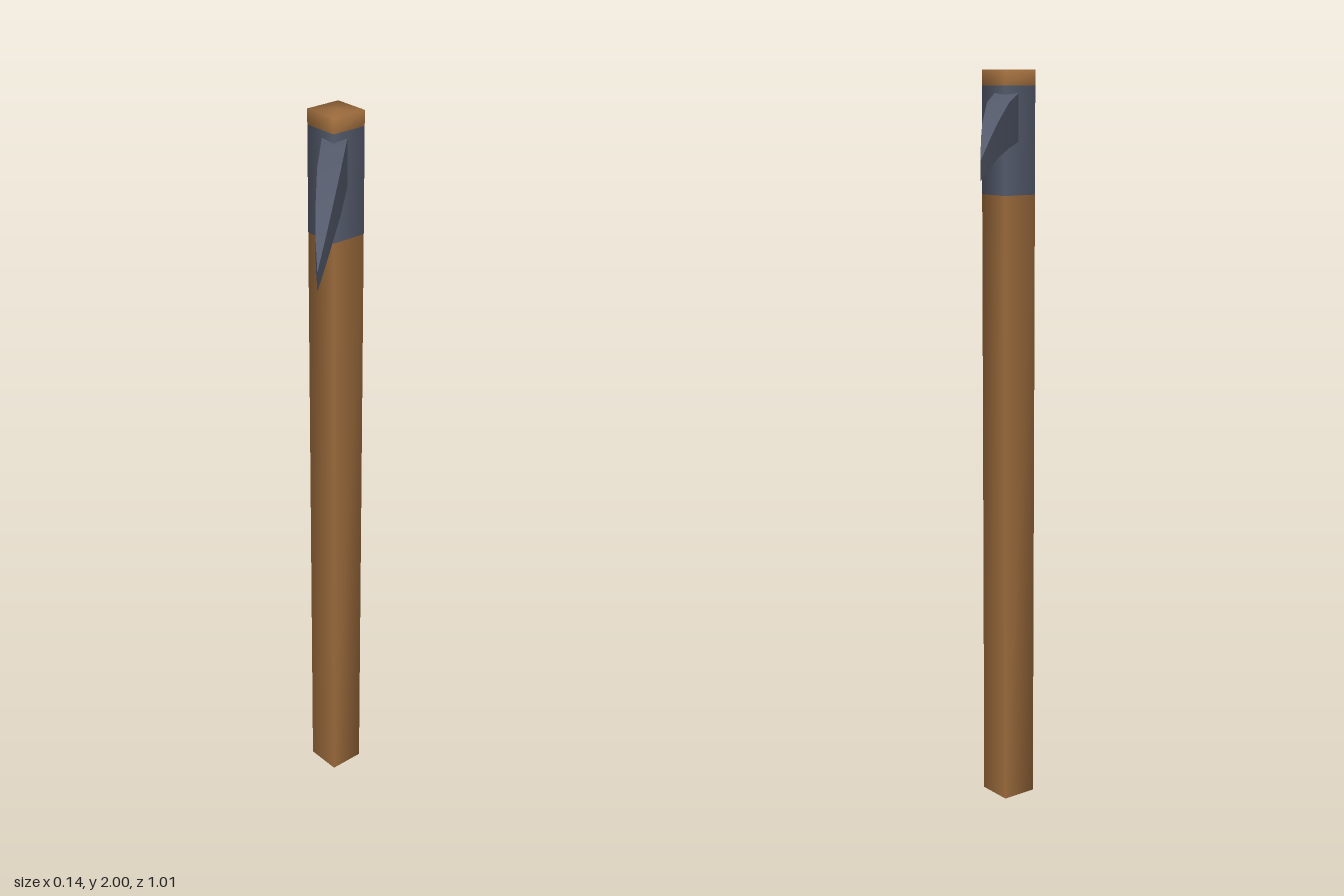
import * as THREE from 'three';
import { mergeVertices } from 'three/addons/utils/BufferGeometryUtils.js';

const wood = new THREE.MeshStandardMaterial({ color: 0x99693b });
wood.name = 'wood';
const metal = new THREE.MeshStandardMaterial({ color: 0x545a6b });
metal.name = 'dark metal';

// Four-sided shaft with a metal collar band near the top, softly shaded across its edges
function makeHandle() {
  const heights = [2, 1.96, 1.68, 0];
  let geo = new THREE.CylinderGeometry(0.07, 0.07, 3, 4, 3);
  const pos = geo.attributes.position;
  for (let i = 0; i < pos.count; i++) pos.setY(i, heights[Math.round(1.5 - pos.getY(i))]);
  geo.deleteAttribute('normal');
  geo.deleteAttribute('uv');
  geo = mergeVertices(geo);
  geo.computeVertexNormals();

  // Each side holds three quads: wood tip, metal collar, wood shaft; the caps follow
  geo.clearGroups();
  for (let side = 0; side < 4; side++) {
    [0, 1, 0].forEach((material, row) => geo.addGroup(side * 18 + row * 6, 6, material));
  }
  geo.addGroup(72, 24, 0);
  const mesh = new THREE.Mesh(geo, [wood, metal]);
  mesh.name = 'handleWithCollar';
  return mesh;
}

// Curved double-ended pick, tapering to a vertical edge at both tips
function makePick() {
  // Cross-sections from centre to tip: z, half width, bottom y, top y
  const sections = [
    [0, 0.031, 1.817, 1.942],
    [0.04, 0.031, 1.817, 1.941],
    [0.2, 0.028, 1.808, 1.92],
    [0.35, 0.0185, 1.789, 1.872],
    [0.43, 0.0105, 1.77, 1.835],
    [0.506, 0, 1.744, 1.79],
  ];
  const steps = sections.length - 1;
  const geo = new THREE.BoxGeometry(2, 2, steps * 2, 1, 1, steps * 2);
  const pos = geo.attributes.position;
  for (let i = 0; i < pos.count; i++) {
    const k = Math.round(pos.getZ(i));
    const [z, halfWidth, bottom, top] = sections[Math.abs(k)];
    pos.setXYZ(i, pos.getX(i) * halfWidth, pos.getY(i) > 0 ? top : bottom, Math.sign(k) * z);
  }
  geo.clearGroups();
  geo.computeVertexNormals();
  const mesh = new THREE.Mesh(geo, metal);
  mesh.name = 'pickBlade';
  return mesh;
}

export function createModel() {
  const group = new THREE.Group();
  group.name = 'pickaxe';
  group.add(makeHandle(), makePick());
  return group;
}
